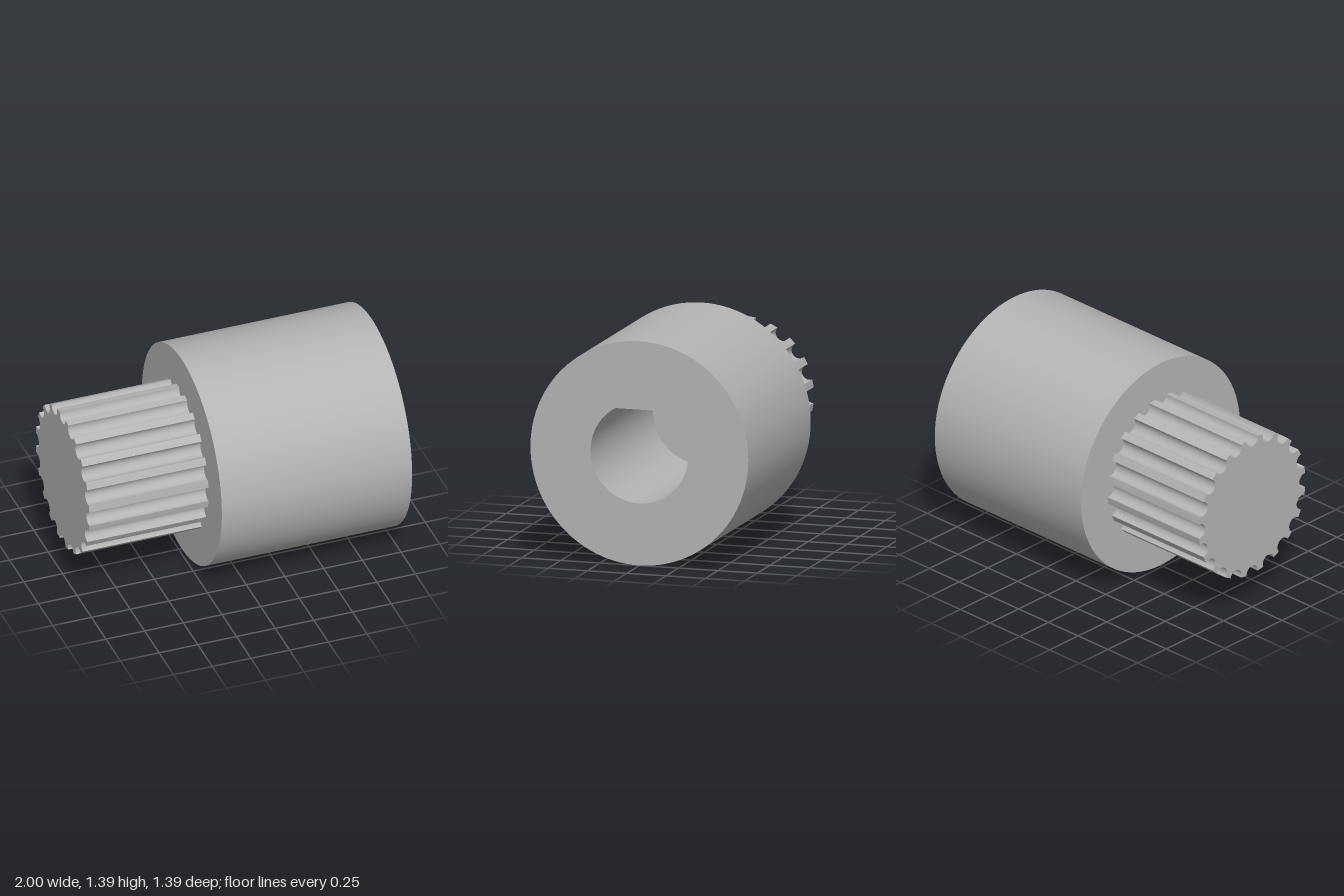
import * as THREE from 'three';
import { toCreasedNormals } from 'three/addons/utils/BufferGeometryUtils.js';

const AXIS_Y = 0.693;

// Extrude a profile along +x from x0 to x1, centred on the shaft axis
function extrudeAlongX(shape, x0, x1, curveSegments) {
  const geo = new THREE.ExtrudeGeometry(shape, { depth: x1 - x0, bevelEnabled: false, curveSegments });
  geo.rotateY(Math.PI / 2);
  geo.translate(x0, AXIS_Y, 0);
  return toCreasedNormals(geo, 0.4);
}

// Round hub profile with a D-shaped bore, flat side up
function hubShape() {
  const shape = new THREE.Shape();
  shape.absarc(0, 0, 0.693, 0, Math.PI * 2, false);
  const r = 0.31;
  const a = Math.asin(0.27 / r);
  const bore = new THREE.Path();
  bore.absarc(0, 0, r, Math.PI - a, Math.PI * 2 + a, false);
  bore.closePath();
  shape.holes.push(bore);
  return shape;
}

// Toothed profile: 20 round grooves cut into a circle
function toothedShape() {
  const teeth = 20, outer = 0.465, half = Math.PI / 30;
  const grooveCentre = 0.459;
  const dx = outer * Math.cos(half) - grooveCentre;
  const dy = outer * Math.sin(half);
  const grooveR = Math.hypot(dx, dy);
  const start = Math.atan2(dy, dx);
  const points = [];
  for (let i = 0; i < teeth; i++) {
    const mid = (i / teeth) * Math.PI * 2;
    // groove, from its clockwise edge through the bottom to the other edge
    for (let k = 0; k <= 14; k++) {
      const t = -start - (k / 14) * (Math.PI * 2 - 2 * start);
      const p = new THREE.Vector2(grooveCentre + grooveR * Math.cos(t), grooveR * Math.sin(t));
      points.push(p.rotateAround(new THREE.Vector2(), mid));
    }
    // middle of the tooth tip
    const tip = mid + Math.PI / teeth;
    points.push(new THREE.Vector2(outer * Math.cos(tip), outer * Math.sin(tip)));
  }
  return new THREE.Shape(points);
}

export function createModel() {
  const metal = new THREE.MeshStandardMaterial({ color: 0xb4b4b4 });
  metal.name = 'grey metal';

  const hub = new THREE.Mesh(extrudeAlongX(hubShape(), -0.23, 1, 48), metal);
  hub.name = 'hub';

  // The solid toothed section also closes the inner end of the bore
  const teeth = new THREE.Mesh(extrudeAlongX(toothedShape(), -1, -0.23, 1), metal);
  teeth.name = 'toothedSection';

  const group = new THREE.Group();
  group.name = 'pulley';
  group.add(hub, teeth);
  return group;
}
